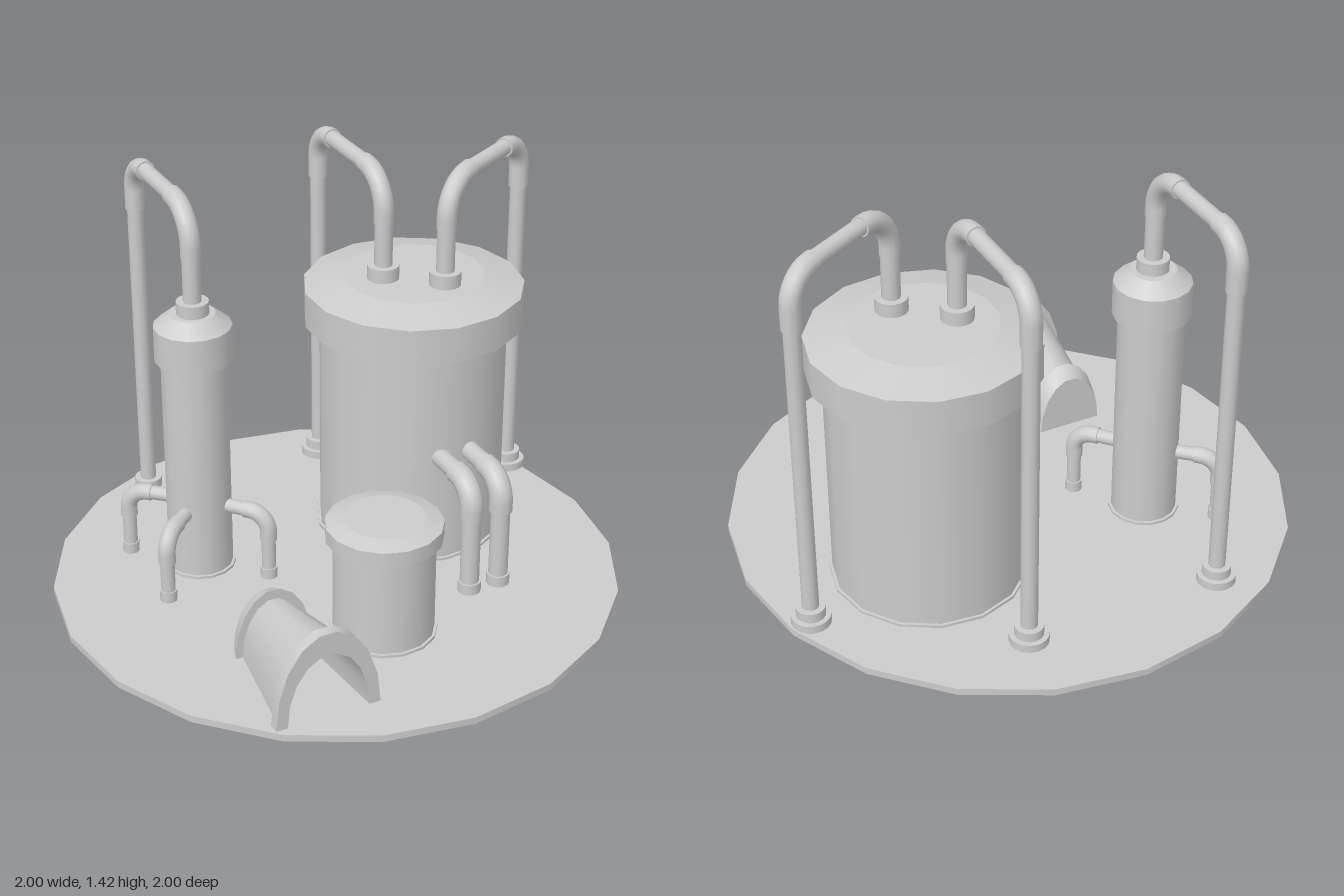
import * as THREE from 'three';
import { toCreasedNormals } from 'three/addons/utils/BufferGeometryUtils.js';

const grey = new THREE.MeshStandardMaterial({ color: 0xcccccc });
const greyDouble = new THREE.MeshStandardMaterial({ color: 0xcccccc, side: THREE.DoubleSide });
const FLOOR = 0.025;

function add(parent, name, geometry, material = grey) {
  const mesh = new THREE.Mesh(geometry, material);
  mesh.name = name;
  parent.add(mesh);
  return mesh;
}

function group(parent, name, x = 0, z = 0) {
  const g = new THREE.Group();
  g.name = name;
  g.position.set(x, 0, z);
  parent.add(g);
  return g;
}

// Upright cylinder or frustum between two heights, one corner on +x
function drum(parent, name, rBottom, rTop, y0, y1, sides = 15, x = 0) {
  const geo = new THREE.CylinderGeometry(rTop, rBottom, y1 - y0, sides);
  geo.rotateY(Math.PI / 2).translate(x, (y0 + y1) / 2, 0);
  return add(parent, name, geo);
}

// Level pipe along local x
function run(parent, name, r, x0, x1, y) {
  const geo = new THREE.CylinderGeometry(r, r, x1 - x0, 12);
  geo.rotateZ(Math.PI / 2).translate((x0 + x1) / 2, y, 0);
  return add(parent, name, geo);
}

// Quarter bend: rising into +x, or (down = true) turning from +x to a drop
function elbow(parent, x, y, bend, r, down) {
  const geo = new THREE.TorusGeometry(bend, r, 12, 8, Math.PI / 2);
  if (!down) geo.rotateZ(Math.PI / 2);
  geo.translate(x, y, 0);
  add(parent, 'elbow', geo);
}

function tank(parent, name, x, z, p) {
  const g = group(parent, name, x, z);
  drum(g, 'body', p.r, p.r, FLOOR, p.rim);
  drum(g, 'baseRing', p.r + 0.01, p.r + 0.01, FLOOR, FLOOR + 0.01);
  drum(g, 'lidRim', p.lid, p.lid, p.rim, p.shoulder);
  drum(g, 'lidTop', p.lid, p.crown, p.shoulder, p.top);
}

// Tall pipe from a tank top, over and down to a foot
function overheadPipe(parent, x, z, toX, toZ) {
  const g = group(parent, 'overheadPipe', x, z);
  const dx = toX - x, dz = toZ - z, len = Math.hypot(dx, dz);
  g.rotation.y = Math.atan2(-dz, dx);
  const y = 1.382, b1 = 0.135, b2 = 0.105, r = 0.029, re = 0.035;
  drum(g, 'nozzle', 0.056, 0.056, 0.99, 1.055, 16);
  drum(g, 'riser', 0.032, 0.032, 1.05, y - b1, 12);
  drum(g, 'riserCollar', re, re, y - b1 - 0.035, y - b1, 12);
  elbow(g, b1, y - b1, b1, re, false);
  run(g, 'crossPipe', r, b1, len - b2, y);
  run(g, 'crossCollar', re, b1, b1 + 0.012, y);
  run(g, 'crossCollar', re, len - b2 - 0.012, len - b2, y);
  elbow(g, len - b2, y - b2, b2, re, true);
  drum(g, 'dropCollar', re, re, 1.2, y - b2, 12, len);
  drum(g, 'dropPipe', r, r, 0.1, 1.21, 12, len);
  drum(g, 'footCollar', 0.05, 0.05, 0.08, 0.115, 16, len);
  drum(g, 'footFlange', 0.068, 0.068, 0.05, 0.08, 16, len);
}

// Short pipe leaving a wall and bending to the floor
function lowPipe(parent, x, z, angle, p) {
  const g = group(parent, 'lowPipe', x, z);
  g.rotation.y = angle;
  const re = p.r + p.step;
  run(g, 'outlet', p.r, p.start, p.len - p.bend, p.y);
  run(g, 'outletCollar', re, p.len - p.bend - 0.02, p.len - p.bend, p.y);
  elbow(g, p.len - p.bend, p.y - p.bend, p.bend, re, true);
  drum(g, 'dropCollar', re, re, p.y - p.bend - 0.035, p.y - p.bend, 12, p.len);
  drum(g, 'dropPipe', p.r, p.r, FLOOR, p.y - p.bend, 12, p.len);
  drum(g, 'foot', re, re, FLOOR, FLOOR + 0.04, 12, p.len);
}

// Surface through half-ellipse sections [halfWidth, height, z]
function archLoft(sections, segments = 9) {
  const pos = [], index = [], n = segments + 1;
  sections.forEach(([w, h, z], s) => {
    for (let i = 0; i < n; i++) {
      const a = (i / segments) * Math.PI;
      pos.push(w * Math.cos(a), h * Math.sin(a), z);
      if (s && i) {
        const d = s * n + i, c = d - 1, b = d - n, e = b - 1;
        index.push(e, c, b, b, c, d);
      }
    }
  });
  const geo = new THREE.BufferGeometry();
  geo.setAttribute('position', new THREE.Float32BufferAttribute(pos, 3));
  geo.setIndex(index);
  return toCreasedNormals(geo, 0.6);
}

export function createModel() {
  const model = new THREE.Group();
  model.name = 'tankStation';

  drum(model, 'basePlate', 1, 1, 0, FLOOR, 20);

  // Tanks
  tank(model, 'largeTank', 0.4, -0.195,
    { r: 0.335, lid: 0.39, crown: 0.25, rim: 0.84, shoulder: 0.97, top: 1.005 });
  tank(model, 'smallTank', -0.03, 0.42,
    { r: 0.175, lid: 0.2, crown: 0.14, rim: 0.39, shoulder: 0.445, top: 0.463 });
  tank(model, 'column', -0.42, -0.24,
    { r: 0.115, lid: 0.135, crown: 0.08, rim: 0.84, shoulder: 0.965, top: 1.01 });

  // Overhead pipes
  overheadPipe(model, -0.42, -0.235, -0.42, -0.735);
  overheadPipe(model, 0.287, -0.21, 0.287, -0.725);
  overheadPipe(model, 0.455, -0.07, 0.888, -0.32);

  // Twin outlets in front of the large tank
  for (const x of [0.345, 0.46]) {
    lowPipe(model, x, 0.1, -Math.PI / 2,
      { r: 0.034, step: 0.007, start: 0, len: 0.25, bend: 0.09, y: 0.443 });
  }

  // Three legs around the column
  for (const deg of [138, 222, -48]) {
    lowPipe(model, -0.42, -0.24, THREE.MathUtils.degToRad(deg),
      { r: 0.025, step: 0.005, start: 0.08, len: 0.265, bend: 0.07, y: 0.28 });
  }

  // Arched entrance: front flange, tapering tunnel, rear collar and end wall
  const arch = group(model, 'archedEntrance', -0.415, 0);
  arch.position.y = FLOOR;
  add(arch, 'shell', archLoft([
    [0.145, 0.238, 0.785], [0.185, 0.32, 0.785], [0.185, 0.32, 0.745],
    [0.165, 0.285, 0.745], [0.115, 0.2, 0.37], [0.14, 0.235, 0.37],
    [0.12, 0.205, 0.31], [0, 0, 0.31],
  ]), greyDouble);
  add(arch, 'innerTunnel', archLoft([
    [0, 0, 0.38], [0.105, 0.185, 0.38], [0.145, 0.238, 0.785],
  ]), greyDouble);

  return model;
}
